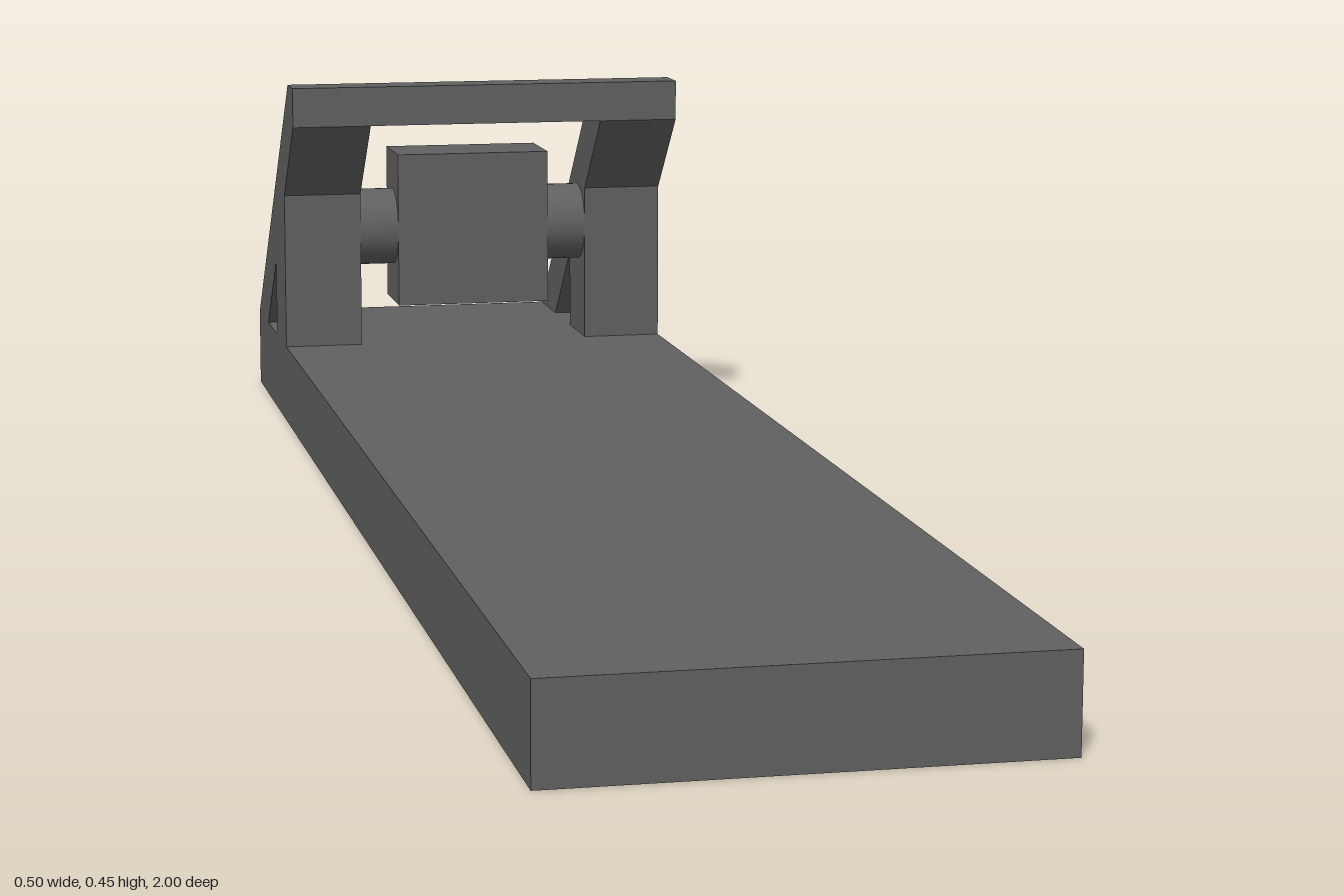
import * as THREE from 'three';

const grey = new THREE.MeshStandardMaterial({ color: 0x606060 });
grey.name = 'grey';

// Extrudes a (z, y) outline along x, centred on x = 0
function profile(points, width, holePoints) {
  const toVectors = (list) => list.map(([z, y]) => new THREE.Vector2(z, y));
  const shape = new THREE.Shape(toVectors(points));
  if (holePoints) shape.holes.push(new THREE.Path(toVectors(holePoints)));
  return new THREE.ExtrudeGeometry(shape, { depth: width, bevelEnabled: false })
    .translate(0, 0, -width / 2)
    .rotateY(-Math.PI / 2);
}

export function createModel() {
  const model = new THREE.Group();
  const add = (name, geometry, x = 0, y = 0, z = 0) => {
    const mesh = new THREE.Mesh(geometry, grey);
    mesh.name = name;
    mesh.position.set(x, y, z);
    model.add(mesh);
    return mesh;
  };

  // Long flat base
  add('base', new THREE.BoxGeometry(0.5, 0.1, 2), 0, 0.05, 0);

  // Side frames: upright post and sloping arm around a triangular hole
  const outline = [[-1, 0.1], [-0.7, 0.1], [-0.7, 0.3], [-0.6, 0.4], [-0.6, 0.45], [-0.65, 0.45]];
  const hole = [[-0.9, 0.1], [-0.8, 0.2], [-0.8, 0.1]];
  // The hole rests on the base, so it is cut into the outline itself
  const cutOutline = [outline[0], hole[0], hole[1], hole[2], ...outline.slice(1)];
  for (const side of [-1, 1]) {
    add(side > 0 ? 'leftFrame' : 'rightFrame', profile(cutOutline, 0.1), side * 0.2);
  }

  // Bar joining the tops of the arms
  add('topBar', profile([[-0.7, 0.4], [-0.6, 0.4], [-0.6, 0.45], [-0.65, 0.45]], 0.3));

  // Block hung between the posts on two round pins
  add('block', new THREE.BoxGeometry(0.2, 0.2, 0.1), 0, 0.25, -0.75);
  for (const side of [-1, 1]) {
    const pin = new THREE.CylinderGeometry(0.05, 0.05, 0.05, 32).rotateZ(Math.PI / 2);
    add(side > 0 ? 'leftPin' : 'rightPin', pin, side * 0.125, 0.25, -0.75);
  }

  // Round knob on the back of the block
  add('knob', new THREE.CylinderGeometry(0.05, 0.05, 0.05, 32).rotateX(Math.PI / 2), 0, 0.25, -0.825);

  return model;
}
